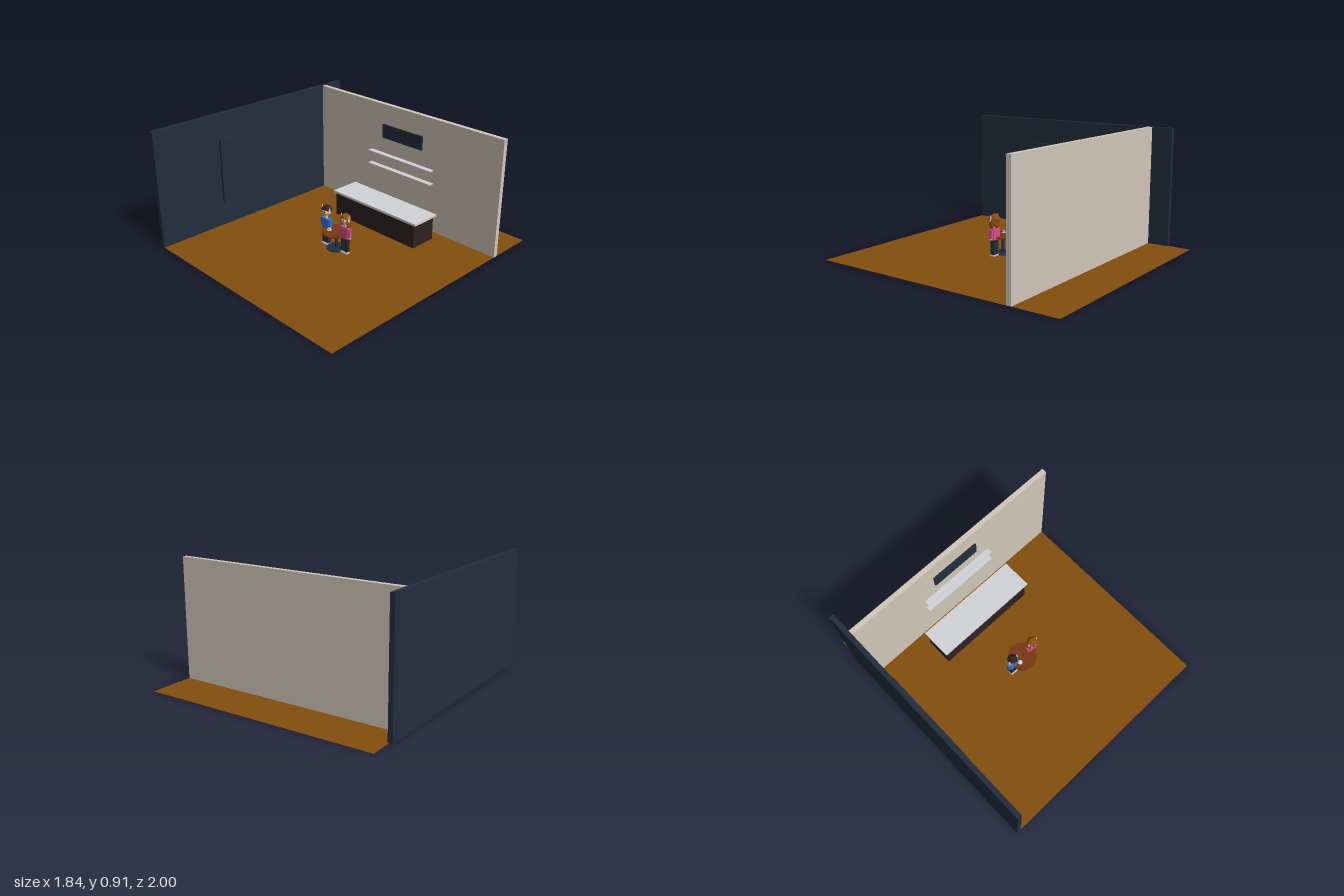
import * as THREE from 'three';

const mat = (name, color, side = THREE.FrontSide) => {
  const m = new THREE.MeshStandardMaterial({ color, side });
  m.name = name;
  return m;
};

export function createModel() {
  const M = {
    floor: mat('floor brown', 0x824e0e, THREE.DoubleSide),
    navy: mat('dark navy', 0x222e3e),
    cream: mat('cream wall', 0xd2c7b9),
    grey: mat('light grey', 0xd2d4d7),
    dark: mat('dark wood', 0x2e2222),
    table: mat('table wood', 0x7a3610),
    blue: mat('blue shirt', 0x3477d2),
    pink: mat('pink shirt', 0xdf4a93),
    skin: mat('pale skin', 0xddc9b4),
    hair: mat('brown hair', 0x8a4e0e),
  };
  const model = new THREE.Group();
  model.name = 'cafe';

  const add = (parent, name, geo, material, x = 0, y = 0, z = 0) => {
    const mesh = new THREE.Mesh(geo, material);
    mesh.name = name;
    mesh.position.set(x, y, z);
    parent.add(mesh);
    return mesh;
  };
  // Box given by its limits on each axis
  const box = (parent, name, material, x0, x1, y0, y1, z0, z1) =>
    add(parent, name, new THREE.BoxGeometry(x1 - x0, y1 - y0, z1 - z0), material,
      (x0 + x1) / 2, (y0 + y1) / 2, (z0 + z1) / 2);
  const disc = (parent, name, material, r, y0, y1, x, z, r2 = r) =>
    add(parent, name, new THREE.CylinderGeometry(r, r2, y1 - y0, 32), material, x, (y0 + y1) / 2, z);

  // Room
  const floor = add(model, 'floor', new THREE.PlaneGeometry(1.815, 2), M.floor, 0.0075, 0.002, 0);
  floor.rotation.x = -Math.PI / 2;
  box(model, 'sideWall', M.navy, -0.92, -0.885, 0, 0.91, -0.82, 1);
  box(model, 'wallBoard', M.navy, -0.886, -0.864, 0.2, 0.71, -0.27, 0.45);
  box(model, 'backWall', M.cream, -0.885, 0.915, 0.002, 0.91, -0.657, -0.62);
  box(model, 'menuBoard', M.navy, -0.19, 0.208, 0.64, 0.75, -0.621, -0.606);
  for (const y of [0.4, 0.508])
    box(model, 'shelf', M.grey, -0.31, 0.323, y - 0.004, y + 0.004, -0.621, -0.577);

  // Counter
  box(model, 'counterBody', M.dark, -0.403, 0.415, 0, 0.192, -0.527, -0.308);
  box(model, 'counterTop', M.grey, -0.418, 0.433, 0.192, 0.21, -0.54, -0.297);

  // Round table with a cup
  const table = new THREE.Group();
  table.name = 'table';
  model.add(table);
  disc(table, 'tableTop', M.table, 0.109, 0.133, 0.143, 0.008, 0.088);
  disc(table, 'tablePole', M.navy, 0.011, 0.008, 0.133, 0.008, 0.088);
  disc(table, 'tableBase', M.navy, 0.074, 0, 0.01, 0.008, 0.088);
  disc(table, 'saucer', M.grey, 0.018, 0.143, 0.146, -0.038, 0.115);
  disc(table, 'cup', M.grey, 0.011, 0.146, 0.158, -0.038, 0.115, 0.008);

  // Standing figure, feet at its origin
  const person = (name, x, shirt, hairMat, longHair) => {
    const g = new THREE.Group();
    g.name = name;
    g.position.set(x, 0, 0.09);
    model.add(g);
    box(g, 'torso', shirt, -0.034, 0.034, 0.125, 0.215, -0.018, 0.018);
    disc(g, 'neck', M.skin, 0.012, 0.21, 0.245, 0, 0);
    const head = add(g, 'head', new THREE.SphereGeometry(0.034, 20, 14), M.skin, 0, 0.273, 0);
    head.scale.y = 1.12;
    // Hair cap, tipped back to leave the face open
    const cap = add(g, 'hairCap',
      new THREE.SphereGeometry(0.039, 20, 10, 0, Math.PI * 2, 0, Math.PI * 0.52), hairMat, 0, 0.279, -0.002);
    cap.rotation.x = -0.35;
    box(g, 'mouth', M.table, -0.008, 0.008, 0.255, 0.258, 0.03, 0.034);
    for (const s of [-1, 1]) {
      const side = (part, m, x0, x1, ...rest) =>
        box(g, part, m, Math.min(s * x0, s * x1), Math.max(s * x0, s * x1), ...rest);
      side('leg', M.navy, 0.004, 0.029, 0.012, 0.128, -0.015, 0.015);
      side('shoe', M.grey, 0.003, 0.03, 0.002, 0.014, -0.016, 0.024);
      side('sleeve', shirt, 0.033, 0.051, 0.14, 0.207, -0.012, 0.012);
      side('hand', M.skin, 0.036, 0.049, 0.127, 0.14, -0.008, 0.008);
      side('eye', M.navy, 0.009, 0.016, 0.271, 0.279, 0.029, 0.035);
      // Tall pointed ears
      const ear = add(g, 'ear', new THREE.ConeGeometry(0.012, 0.055, 12), M.skin, s * 0.038, 0.294, 0.004);
      ear.rotation.z = -s * 0.15;
      if (longHair) {
        const lock = add(g, 'hairLock', new THREE.CapsuleGeometry(0.012, 0.05, 6, 12), hairMat, s * 0.032, 0.252, 0);
        lock.scale.z = 1.5;
      }
    }
    if (longHair) {
      const back = add(g, 'backHair', new THREE.CapsuleGeometry(0.026, 0.03, 6, 16), hairMat, 0, 0.255, -0.02);
      back.scale.z = 0.6;
    }
  };
  person('blueFigure', -0.094, M.blue, M.dark, false);
  person('pinkFigure', 0.106, M.pink, M.hair, true);

  return model;
}
